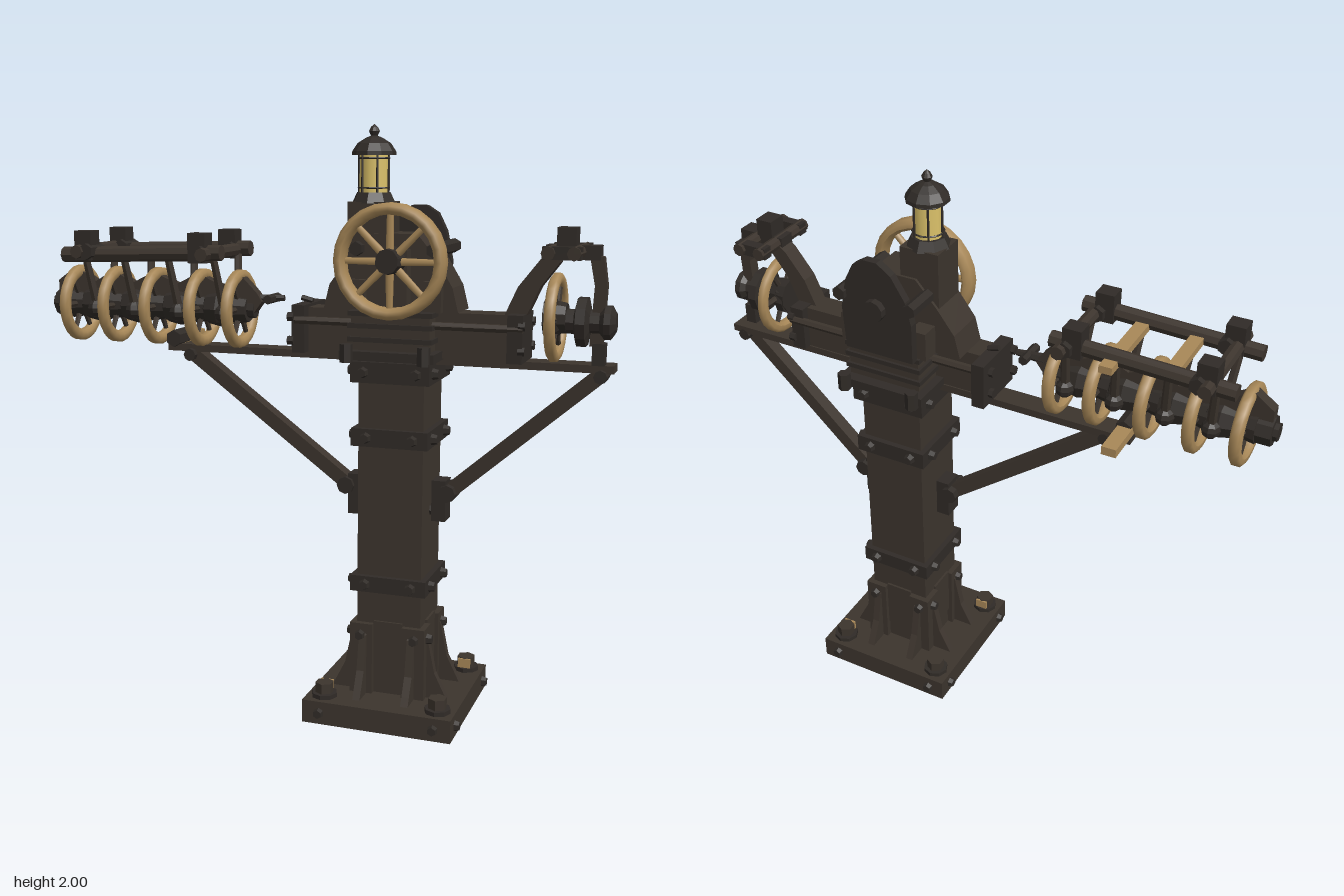
import * as THREE from 'three';

const mat = (name, color, flatShading = true) => {
  const m = new THREE.MeshStandardMaterial({ color, flatShading });
  m.name = name;
  return m;
};

export function createModel() {
  const root = new THREE.Group();
  root.name = 'signalPost';
  const iron = mat('iron', 0x3c342d), dark = mat('darkIron', 0x302b27);
  const brass = mat('brass', 0xa88858, false), glass = mat('lampGlass', 0xdcc26a, false);

  const add = (name, geo, m, x = 0, y = 0, z = 0, parent = root) => {
    const mesh = new THREE.Mesh(geo, m);
    mesh.name = name;
    mesh.position.set(x, y, z);
    parent.add(mesh);
    return mesh;
  };
  // Box given by its limits on each axis
  const box = (name, m, x0, x1, y0, y1, z0, z1, parent = root) =>
    add(name, new THREE.BoxGeometry(x1 - x0, y1 - y0, z1 - z0), m,
      (x0 + x1) / 2, (y0 + y1) / 2, (z0 + z1) / 2, parent);
  // Rod between two points; four sides make a square bar
  const rod = (name, m, a, b, r, sides = 8, r2 = r, parent = root) => {
    const p = new THREE.Vector3(...a), q = new THREE.Vector3(...b), d = q.clone().sub(p);
    const geo = new THREE.CylinderGeometry(r2, r, d.length(), sides);
    if (sides === 4) geo.rotateY(Math.PI / 4);
    const mesh = add(name, geo, m, 0, 0, 0, parent);
    mesh.position.copy(p).add(q).multiplyScalar(0.5);
    mesh.quaternion.setFromUnitVectors(new THREE.Vector3(0, 1, 0), d.normalize());
    return mesh;
  };
  const lathe = (pts, sides) => new THREE.LatheGeometry(pts.map(p => new THREE.Vector2(...p)), sides);
  const plate = (name, m, pts, z0, z1, parent = root) => {
    const shape = new THREE.Shape(pts.map(p => new THREE.Vector2(...p)));
    return add(name, new THREE.ExtrudeGeometry(shape, { depth: z1 - z0, bevelEnabled: false }), m, 0, 0, z0, parent);
  };
  // Spoked wheel facing +z; the rim has a chamfered section t deep radially and w wide
  const wheel = (name, r, t, w, spokes, spokeMat, spokeR, hubR, depth) => {
    const g = new THREE.Group();
    g.name = name;
    const c = 0.3 * t, h = w / 2, k = h * 0.55, i = r - t;
    const section = [[i + c, -h], [r - c, -h], [r, -k], [r, k], [r - c, h], [i + c, h], [i, k], [i, -k], [i + c, -h]];
    add('rim', lathe(section, 24).rotateX(Math.PI / 2), brass, 0, 0, 0, g);
    for (let n = 0; n < spokes; n++) {
      const a = n / spokes * Math.PI * 2, x = Math.cos(a), y = Math.sin(a);
      rod('spoke', spokeMat, [x * hubR * 0.7, y * hubR * 0.7, 0], [x * (i + c), y * (i + c), 0], spokeR, 6, spokeR * 0.8, g);
    }
    rod('hub', dark, [0, 0, -depth], [0, 0, depth], hubR, 10, hubR * 0.8, g);
    root.add(g);
    return g;
  };

  // Foot, column and bands
  const CX = 0.29;
  box('basePlate', iron, CX - 0.26, CX + 0.26, 0, 0.08, -0.26, 0.26);
  box('column', iron, CX - 0.112, CX + 0.112, 0.08, 1.25, -0.112, 0.112);
  const band = (y0, y1, w) => box('columnBand', dark, CX - w, CX + w, y0, y1, -w, w);
  band(0.445, 0.5, 0.132);
  band(0.95, 1.01, 0.132);
  band(1.165, 1.235, 0.135);
  for (const sx of [-1, 1]) for (const sz of [-1, 1]) {
    const x = CX + sx * 0.2, z = sz * 0.2;
    rod('anchorWasher', dark, [x, 0.08, z], [x, 0.095, z], 0.045, 8);
    rod('anchorNut', iron, [x, 0.09, z], [x, 0.13, z], 0.032, 6);
    // Two opposite nuts carry a brass inner face
    if (sx !== sz) box('nutFace', brass, x - 0.022, x + 0.022, 0.092, 0.128, z - sz * 0.03 - 0.004, z - sz * 0.03 + 0.004);
  }
  // Each side of the column: gussets, skirt plate and bolts
  for (let i = 0; i < 4; i++) {
    const side = new THREE.Group();
    side.name = 'columnSide';
    side.position.x = CX;
    side.rotation.y = i * Math.PI / 2;
    root.add(side);
    for (const s of [-1, 1]) {
      const g = plate('gusset', iron, [[0.11, 0.08], [0.205, 0.08], [0.19, 0.11], [0.16, 0.17], [0.135, 0.29], [0.11, 0.33]], -0.013, 0.013, side);
      g.rotation.y = -Math.PI / 2;
      g.position.set(s * 0.085 + 0.013, 0, 0);
      box('skirtStrap', iron, s * 0.092 - 0.04, s * 0.092 + 0.04, 0.08, 0.33, 0.1, 0.132, side);
      for (const [y, z, x] of [[0.29, 0.128, 0.095], [0.472, 0.13, 0.08], [0.98, 0.13, 0.08], [1.2, 0.133, 0.09], [0.04, 0.255, 0.2]])
        rod('bolt', dark, [s * x, y, z], [s * x, y, z + 0.022], 0.02, 6, 0.015, side);
    }
    box('skirtPlate', iron, -0.05, 0.05, 0.15, 0.34, 0.1, 0.12, side);
  }

  // Long carrying rail and its diagonal braces
  box('carryingRail', iron, -0.55, 1.0, 1.225, 1.25, -0.03, 0.05);
  for (const [s, xt] of [[-1, -0.46], [1, 0.96]]) {
    const xb = CX + s * 0.148, xp = xb + s * 0.03;
    box('braceBracket', dark, xb - 0.024, xb + 0.024, 0.69, 0.83, -0.03, 0.04);
    rod('bracketBolt', dark, [xb, 0.72, 0.005], [CX + s * 0.1, 0.72, 0.005], 0.018, 6);
    rod('brace', iron, [xp, 0.79, 0.005], [xt, 1.22, 0.025], 0.034, 4);
    rod('bracePin', dark, [xp, 0.79, -0.045], [xp, 0.79, 0.055], 0.03, 8);
    rod('bracePin', dark, [xt, 1.215, -0.03], [xt, 1.215, 0.07], 0.022, 8);
  }
  box('railCrossbar', brass, -0.55, -0.5, 1.25, 1.28, -0.15, 0.02);
  rod('railEndBolt', dark, [-0.52, 1.27, -0.02], [-0.52, 1.27, 0.07], 0.03, 6);

  // Horizontal arm housing
  box('armBeam', iron, -0.03, 0.71, 1.25, 1.4, -0.025, 0.07);
  box('armEndBlock', dark, -0.06, -0.015, 1.25, 1.41, -0.1, 0.11);
  box('armFlange', dark, 0.67, 0.72, 1.25, 1.405, -0.055, 0.115);
  for (const z of [-0.055, 0.105]) {
    rod('tieRod', iron, [-0.05, 1.36, z], [0.72, 1.36, z], 0.014, 6);
    for (const x of [-0.075, 0.705]) for (const y of [1.29, 1.37])
      rod('flangeBolt', dark, [x, y, z], [x + 0.022, y, z], 0.016, 6);
  }
  box('bedPlate', dark, 0.13, 0.45, 1.245, 1.275, -0.18, 0.18);
  box('gearbox', iron, 0.16, 0.425, 1.27, 1.4, -0.14, 0.14);
  for (const y of [1.31, 1.355, 1.395]) box('gearboxRib', dark, 0.15, 0.435, y - 0.008, y + 0.008, -0.15, 0.15);
  for (const x of [0.16, 0.42]) for (const z of [-0.19, 0.19])
    rod('bedBolt', dark, [x, 1.24, z], [x, 1.3, z], 0.022, 6);

  // Machinery on the gearbox
  plate('machineHousing', iron, [[0.04, 1.4], [0.5, 1.4], [0.48, 1.48], [0.42, 1.58], [0.36, 1.65], [0.2, 1.65], [0.12, 1.56], [0.06, 1.48]], -0.075, 0.07);
  plate('bearingPlate', dark, [[0.16, 1.4], [0.41, 1.4], [0.42, 1.55], [0.4, 1.65], [0.37, 1.71], [0.33, 1.735], [0.28, 1.735], [0.23, 1.7], [0.18, 1.62], [0.16, 1.54]], -0.175, -0.145);
  rod('wheelShaft', dark, [CX, 1.57, -0.2], [CX, 1.57, 0.18], 0.038, 10);
  for (const x of [0.16, 0.42]) {
    box('shaftSupport', iron, x - 0.03, x + 0.03, 1.4, 1.5, -0.14, 0.1);
    rod('crossShaft', dark, [x, 1.6, -0.19], [x, 1.6, 0.1], 0.024, 6);
  }
  box('frontBearing', iron, CX - 0.05, CX + 0.05, 1.4, 1.6, 0.06, 0.115);
  wheel('handWheel', 0.188, 0.038, 0.06, 8, brass, 0.014, 0.048, 0.04).position.set(CX, 1.565, 0.14);

  // Lantern
  const LX = 0.19;
  box('lanternPedestal', iron, LX - 0.07, LX + 0.07, 1.4, 1.75, -0.065, 0.065);
  rod('lanternBase', dark, [LX, 1.745, 0], [LX, 1.78, 0], 0.075, 8, 0.058);
  rod('lanternGlass', glass, [LX, 1.775, 0], [LX, 1.91, 0], 0.047, 10);
  for (let i = 0; i < 6; i++) {
    const a = i / 6 * Math.PI * 2, x = LX + 0.051 * Math.cos(a), z = 0.051 * Math.sin(a);
    rod('lanternBar', dark, [x, 1.77, z], [x, 1.91, z], 0.004, 5);
  }
  for (const y of [1.795, 1.89]) {
    const ring = add('lanternRing', new THREE.TorusGeometry(0.052, 0.003, 5, 12), dark, LX, y, 0);
    ring.rotation.x = Math.PI / 2;
  }
  const roof = [[0, 1.9], [0.073, 1.9], [0.072, 1.912], [0.055, 1.938], [0.028, 1.955], [0.011, 1.962], [0.018, 1.977], [0.011, 1.99], [0, 2.0]];
  add('lanternRoof', lathe(roof, 10), dark, LX);

  // Roller row on the right-hand arm
  const RY = 1.38, RZ = 0.035;
  rod('rollerAxle', dark, [-1.0, RY, RZ], [-0.22, RY, RZ], 0.03, 8);
  rod('axleEnd', dark, [-0.985, RY, RZ], [-0.93, RY, RZ], 0.05, 8);
  const xs = [-0.9, -0.75, -0.59, -0.42, -0.28];
  const hub = [[0.03, -0.06], [0.055, -0.045], [0.065, 0], [0.055, 0.045], [0.03, 0.06]];
  xs.forEach((x, i) => {
    const w = wheel('rollerRing', 0.135, 0.038, 0.038, 6, iron, 0.011, 0.055, 0.035);
    w.position.set(x, RY, RZ);
    w.rotation.y = Math.PI / 2;
    if (i < 4) add('spacerHub', lathe(hub, 8), dark, (x + xs[i + 1]) / 2, RY, RZ).rotation.z = Math.PI / 2;
  });
  plate('rollerSpine', iron, [[-0.98, 1.37], [-0.22, 1.37], [-0.19, 1.41], [-0.21, 1.44], [-0.27, 1.5], [-0.34, 1.46], [-0.43, 1.5],
    [-0.51, 1.46], [-0.6, 1.5], [-0.68, 1.46], [-0.76, 1.5], [-0.83, 1.46], [-0.91, 1.51], [-0.98, 1.46]], RZ - 0.02, RZ + 0.02);
  rod('couplingRod', dark, [-0.24, 1.415, RZ], [-0.12, 1.422, 0.02], 0.02, 6, 0.011);
  rod('couplingPin', dark, [-0.16, 1.42, -0.02], [-0.16, 1.42, 0.08], 0.016, 6);
  rod('couplingStub', dark, [-0.06, 1.425, 0.01], [-0.02, 1.415, 0.01], 0.01, 6);

  // Frame above the rollers
  for (const z of [-0.09, 0.16]) {
    rod('frameRail', iron, [-0.89, 1.56, z], [-0.29, 1.58, z], 0.027, 8);
    for (const x of [-0.8, -0.37]) {
      box('frameBlock', dark, x - 0.032, x + 0.032, 1.545, 1.645, z - 0.03, z + 0.03);
      rod('frameCap', dark, [x + 0.02, 1.575, z - 0.05], [x + 0.02, 1.575, z + 0.05], 0.028, 6);
    }
  }
  for (const x of [-0.81, -0.34]) rod('frameCrossbar', iron, [x, 1.575, -0.16], [x, 1.575, 0.22], 0.023, 8);
  for (const x of [-0.68, -0.5]) box('frameSlat', brass, x - 0.022, x + 0.022, 1.55, 1.575, x > -0.6 ? -0.16 : -0.09, 0.16);
  for (const x of [-0.82, -0.67, -0.5, -0.33]) for (const z of [-0.07, 0.14]) {
    const zf = RZ + (z - RZ) * 0.6;
    rod('hanger', iron, [x, 1.56, z], [x + 0.015, 1.39, zf], 0.013, 6, 0.016);
    add('hangerFoot', new THREE.SphereGeometry(0.032, 8, 6), dark, x + 0.015, 1.37, zf);
  }

  // End pulley on the left-hand arm
  const pulley = wheel('endPulley', 0.142, 0.036, 0.034, 6, iron, 0.011, 0.06, 0.035);
  pulley.position.set(0.81, 1.395, RZ);
  pulley.rotation.y = Math.PI / 2;
  const spool = [[0, -0.1], [0.06, -0.1], [0.06, -0.07], [0.04, -0.05], [0.04, -0.01], [0.08, 0], [0.08, 0.03], [0.04, 0.04], [0.04, 0.07], [0.055, 0.085], [0.055, 0.105], [0.03, 0.12], [0, 0.12]];
  add('spool', lathe(spool, 10), dark, 0.88, 1.385, RZ).rotation.z = -Math.PI / 2;
  plate('swanNeck', iron, [[0.65, 1.4], [0.72, 1.4], [0.76, 1.49], [0.82, 1.57], [0.81, 1.62], [0.76, 1.58], [0.69, 1.49]], 0, 0.06);
  box('yokeBar', dark, 0.775, 0.945, 1.58, 1.625, 0.005, 0.065);
  box('yokeBlock', dark, 0.81, 0.87, 1.6, 1.68, 0, 0.07);
  for (const x of [0.8, 0.88]) rod('yokeCrossbar', iron, [x, 1.605, -0.1], [x, 1.605, 0.17], 0.022, 8);
  for (const z of [-0.07, 0.14]) box('yokeEnd', dark, 0.78, 0.9, 1.585, 1.625, z - 0.018, z + 0.018);
  plate('yokeCheek', iron, [[0.92, 1.31], [0.96, 1.31], [0.968, 1.5], [0.955, 1.59], [0.91, 1.6], [0.93, 1.5]], 0.015, 0.055);
  box('railEndPost', dark, 0.93, 0.97, 1.25, 1.32, 0.01, 0.06);
  return root;
}
